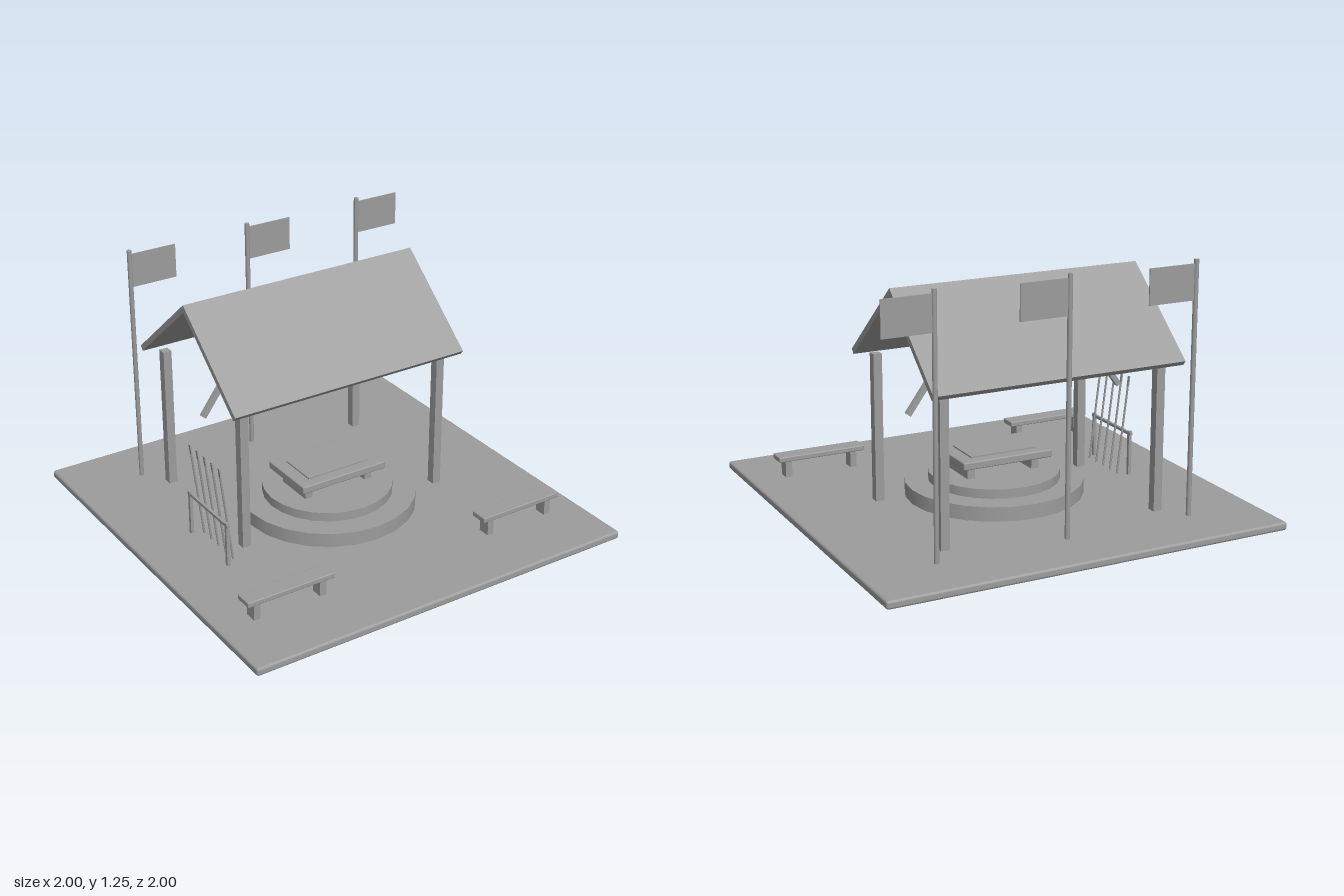
import * as THREE from 'three';
import { RoundedBoxGeometry } from 'three/addons/geometries/RoundedBoxGeometry.js';

export function createModel() {
  const model = new THREE.Group();
  model.name = 'pavilion';
  const stone = new THREE.MeshStandardMaterial({ color: 0x9c9c9c });
  stone.name = 'plain grey';

  function add(name, geometry, x, y, z, parent = model) {
    const mesh = new THREE.Mesh(geometry, stone);
    mesh.name = name;
    mesh.position.set(x, y, z);
    parent.add(mesh);
    return mesh;
  }
  const box = (name, w, h, d, x, y, z, parent) =>
    add(name, new THREE.BoxGeometry(w, h, d), x, y, z, parent);
  const slab = (name, w, h, d, x, y, z, r, parent) =>
    add(name, new RoundedBoxGeometry(w, h, d, 2, r), x, y, z, parent);
  const rod = (name, r, h, sides, x, y, z, parent) =>
    add(name, new THREE.CylinderGeometry(r, r, h, sides), x, y, z, parent);
  function group(name, x, y, z) {
    const g = new THREE.Group();
    g.name = name;
    g.position.set(x, y, z);
    model.add(g);
    return g;
  }

  // Ground and round steps
  slab('groundSlab', 2, 0.04, 2, 0, 0.02, 0, 0.012);
  rod('lowerStep', 0.432, 0.07, 24, 0, 0.075, 0);
  rod('upperStep', 0.318, 0.045, 24, 0, 0.1325, 0);

  // Table on the steps
  slab('tableTop', 0.47, 0.038, 0.31, 0, 0.238, 0, 0.006);
  box('tablePanel', 0.34, 0.008, 0.2, 0, 0.26, 0);
  for (const s of [-1, 1]) box('tableLeg', 0.04, 0.066, 0.2, s * 0.17, 0.188, 0);

  // Posts and braces
  for (const s of [-1, 1]) {
    for (const z of [0.133, -0.583]) box('post', 0.043, 0.72, 0.043, s * 0.547, 0.4, z);
    const brace = box('brace', 0.025, 0.247, 0.025, s * 0.477, 0.658, -0.225);
    brace.rotation.z = s * 0.63;
  }

  // Roof slopes
  for (const s of [-1, 1]) {
    const slope = box('roofSlope', 1.26, 0.028, 0.587, 0, 0.949, -0.227 + s * 0.215);
    slope.rotation.x = s * 0.702;
  }

  // Flagpoles with flags
  for (const x of [-0.643, 0, 0.643]) {
    const flagpole = group('flagpole', x, 0, -0.718);
    rod('pole', 0.012, 1.21, 8, 0, 0.645, 0, flagpole);
    box('flag', 0.234, 0.168, 0.006, 0.126, 1.146, 0, flagpole);
  }

  // Benches
  for (const s of [-1, 1]) {
    const bench = group('bench', s * 0.641, 0, 0.658);
    slab('benchSeat', 0.448, 0.026, 0.09, 0, 0.137, 0, 0.005, bench);
    for (const t of [-1, 1]) box('benchLeg', 0.033, 0.086, 0.06, t * 0.171, 0.083, 0, bench);
  }

  // Rack with leaning spears
  const rack = group('spearRack', -0.7, 0, 0.072);
  for (const s of [-1, 1]) box('rackPost', 0.016, 0.225, 0.016, 0, 0.1525, s * 0.17, rack);
  box('rackRail', 0.014, 0.014, 0.37, 0, 0.252, 0, rack);
  for (let i = -2; i <= 2; i++) {
    const spear = new THREE.Group();
    spear.name = 'spear';
    spear.position.set(0.047, 0.04, i * 0.067);
    spear.rotation.z = 0.12;
    rod('shaft', 0.005, 0.45, 6, 0, 0.225, 0, spear);
    box('blade', 0.006, 0.052, 0.014, 0, 0.472, 0, spear);
    rack.add(spear);
  }
  return model;
}
